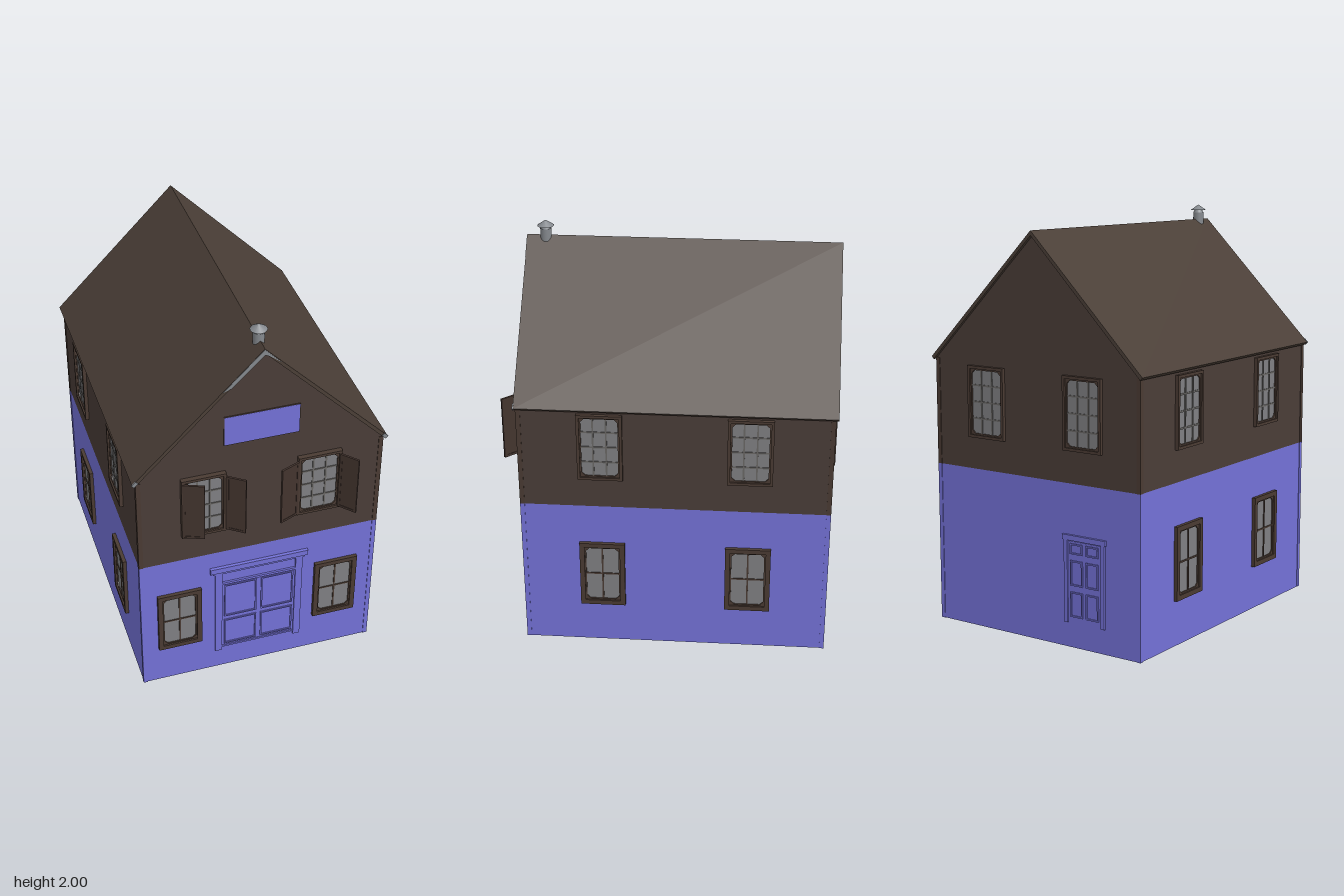
import * as THREE from 'three';

const mat = (name, color, side = THREE.FrontSide) => {
  const m = new THREE.MeshStandardMaterial({ color, side });
  m.name = name;
  return m;
};

export function createModel() {
  const blue = mat('blue paint', 0x7472d8);
  const blueWall = mat('blue wall', 0x7472d8, THREE.DoubleSide);
  const brownWall = mat('brown siding', 0x4a3d38, THREE.DoubleSide);
  const brown = mat('brown trim', 0x4a3b33);
  const roofMat = mat('roof brown', 0x4b3f37);
  const shutterMat = mat('shutter brown', 0x43342e);
  const glass = mat('window grey', 0x808083);
  const bar = mat('window bar grey', 0x6a6866);
  const metal = mat('metal grey', 0x85898e);

  const house = new THREE.Group();
  house.name = 'house';
  const W = 0.595, ZF = 0.7, ZB = -0.78, MID = 0.78, EAVE = 1.305, PEAK = 1.9;
  const ZC = (ZF + ZB) / 2, D = ZF - ZB;

  const add = (parent, name, geo, m, x = 0, y = 0, z = 0) => {
    const mesh = new THREE.Mesh(geo, m);
    mesh.name = name;
    mesh.position.set(x, y, z);
    parent.add(mesh);
    return mesh;
  };
  // box given by its limits
  const box = (parent, name, m, x0, x1, y0, y1, z0, z1) => add(parent, name,
    new THREE.BoxGeometry(x1 - x0, y1 - y0, z1 - z0), m, (x0 + x1) / 2, (y0 + y1) / 2, (z0 + z1) / 2);
  const poly = (pts, C = THREE.Shape) => new C(pts.map(p => new THREE.Vector2(...p)));
  const rect = (w, h, c = 0) => (c
    ? [[-w + c, -h], [w - c, -h], [w, -h + c], [w, h - c], [w - c, h], [-w + c, h], [-w, h - c], [-w, -h + c]]
    : [[-w, -h], [w, -h], [w, h], [-w, h]]);
  const extrude = (shape, depth) => new THREE.ExtrudeGeometry(shape, { depth, bevelEnabled: false });
  // rectangular rim with a hole whose corners may be cut
  const rim = (w, h, border, depth, cut = 0) => {
    const s = poly(rect(w / 2, h / 2));
    s.holes.push(poly(rect(w / 2 - border, h / 2 - border, cut), THREE.Path));
    return extrude(s, depth);
  };
  // group lying on a wall, its local +z pointing outwards
  const mount = (name, x, y, z, turn) => {
    const g = new THREE.Group();
    g.name = name;
    g.position.set(x, y, z);
    g.rotation.y = turn;
    house.add(g);
    return g;
  };

  // Walls, open below
  for (const [name, z, turn] of [['front', ZF, 0], ['back', ZB, Math.PI]]) {
    const g = mount(name + 'Wall', 0, 0, z, turn);
    add(g, 'lowerWall', new THREE.PlaneGeometry(2 * W, MID), blueWall, 0, MID / 2);
    add(g, 'upperGable', new THREE.ShapeGeometry(
      poly([[-W, MID], [W, MID], [W, EAVE], [0, PEAK], [-W, EAVE]])), brownWall);
  }
  for (const s of [-1, 1]) {
    const g = mount('sideWall', s * W, 0, ZC, s * Math.PI / 2);
    add(g, 'lowerWall', new THREE.PlaneGeometry(D, MID), blueWall, 0, MID / 2);
    add(g, 'upperWall', new THREE.PlaneGeometry(D, EAVE - MID), brownWall, 0, (MID + EAVE) / 2);
  }

  // Corner boards
  for (const x of [-W + 0.008, W - 0.008]) for (const z of [ZF - 0.008, ZB + 0.008]) {
    box(house, 'lowerCornerBoard', blue, x - 0.011, x + 0.011, 0, MID, z - 0.011, z + 0.011);
    box(house, 'upperCornerBoard', brown, x - 0.011, x + 0.011, MID, 1.3, z - 0.011, z + 0.011);
  }

  // Roof
  const rx = 0.615;
  add(house, 'roof', extrude(poly([[-rx, 1.305], [0, 1.925], [rx, 1.305], [rx - 0.012, 1.292], [0, 1.902],
    [-rx + 0.012, 1.292]]), 1.505), roofMat, 0, 0, -0.795);
  // Grey edging on the front gable
  const flashing = poly([[0, 1.923], [-0.17, 1.751], [-0.19, 1.731], [-0.15, 1.745], [0, 1.893],
    [0.02, 1.885], [0.08, 1.838]]);
  add(house, 'gableFlashing', extrude(flashing, 0.006), metal, 0, 0, 0.706);
  for (const s of [-1, 1]) {
    const tip = box(house, 'eaveTip', metal, -0.014, 0.014, -0.009, 0.009, -0.003, 0.003);
    tip.position.set(s * 0.602, 1.308, 0.71);
    tip.rotation.z = -s * Math.PI / 4;
  }

  // Chimney pipe
  add(house, 'chimneyPipe', new THREE.CylinderGeometry(0.027, 0.027, 0.06, 16), metal, 0, 1.93, 0.62);
  add(house, 'chimneyNeck', new THREE.CylinderGeometry(0.018, 0.027, 0.02, 16), metal, 0, 1.967, 0.62);
  add(house, 'chimneyCap', new THREE.ConeGeometry(0.04, 0.028, 16), metal, 0, 1.986, 0.62);

  // Windows
  const windowAt = (x, z, turn, upper) => {
    const w = upper ? 0.215 : 0.22, h = upper ? 0.345 : 0.355, b = upper ? 0.014 : 0.024;
    const g = mount(upper ? 'upperWindow' : 'lowerWindow', x, upper ? 1.107 : 0.398, z, turn);
    add(g, 'frame', rim(w, h, b, 0.03), brown, 0, 0, -0.012);
    add(g, 'sash', rim(w - 2 * b, h - 2 * b, 0.007, 0.016, 0.016), brown, 0, 0, -0.006);
    box(g, 'pane', glass, -w / 2 + b, w / 2 - b, -h / 2 + b, h / 2 - b, -0.006, 0.004);
    const cols = upper ? 3 : 2, rows = upper ? 4 : 2, t = 0.004;
    const iw = w - 2 * b, ih = h - 2 * b, m = upper ? bar : brown;
    for (let i = 1; i < cols; i++) {
      const u = -iw / 2 + i * iw / cols;
      box(g, 'uprightBar', m, u - t, u + t, -ih / 2, ih / 2, -0.008, 0.008);
    }
    for (let i = 1; i < rows; i++) {
      const v = -ih / 2 + i * ih / rows;
      box(g, 'crossBar', m, -iw / 2, iw / 2, v - t, v + t, -0.0075, 0.0075);
    }
  };
  for (const x of [-0.405, 0.395]) windowAt(x, ZF, 0, false);
  for (const x of [-0.282, 0.282]) {
    windowAt(x, ZF + 0.006, 0, true);
    windowAt(x, ZB, Math.PI, true);
  }
  for (const s of [-1, 1]) for (const z of [0.312, -0.395]) for (const upper of [false, true])
    windowAt(s * W, z, s * Math.PI / 2, upper);

  // Open shutters, each from its hinge to its free edge
  for (const [x0, z0, x1, z1] of [[-0.385, 0.722, -0.29, 0.76], [-0.175, 0.722, -0.097, 0.778],
    [0.175, 0.722, 0.08, 0.76], [0.38, 0.722, 0.445, 0.795]]) {
    const len = Math.hypot(x1 - x0, z1 - z0);
    const g = mount('shutter', x0, 1.103, z0, Math.atan2(-(z1 - z0), x1 - x0));
    box(g, 'shutterPanel', shutterMat, 0, len, -0.158, 0.158, -0.003, 0.003);
    add(g, 'shutterRim', rim(len, 0.318, 0.012, 0.01), shutterMat, len / 2, 0, -0.005);
  }

  // Sign board
  box(house, 'signBoard', blue, -0.18, 0.175, 1.43, 1.585, ZF, ZF + 0.006);
  add(house, 'signEdge', rim(0.36, 0.16, 0.004, 0.005), brown, -0.0025, 1.5075, ZF);

  // Doors: panels are limits [x0, x1, y0, y1]
  const panels = (g, list) => {
    for (const [x0, x1, y0, y1] of list)
      add(g, 'doorPanel', rim(x1 - x0, y1 - y0, 0.007, 0.02), blue, (x0 + x1) / 2, (y0 + y1) / 2, -0.01);
  };
  const front = mount('frontDoor', 0, 0, ZF, 0);
  box(front, 'doorLeaf', blue, -0.19, 0.185, 0.145, 0.57, -0.006, 0.004);
  box(front, 'sill', blue, -0.19, 0.185, 0.138, 0.148, -0.008, 0.009);
  box(front, 'transomBar', blue, -0.19, 0.185, 0.567, 0.58, -0.008, 0.01);
  box(front, 'lintel', blue, -0.25, 0.245, 0.655, 0.685, -0.008, 0.016);
  box(front, 'lintelMoulding', blue, -0.235, 0.23, 0.642, 0.655, -0.008, 0.011);
  for (const [x0, x1] of [[-0.225, -0.19], [0.185, 0.22]])
    box(front, 'jamb', blue, x0, x1, 0.12, 0.645, -0.008, 0.011);
  panels(front, [[-0.178, -0.013, 0.35, 0.56], [0.01, 0.175, 0.35, 0.56],
    [-0.178, -0.013, 0.16, 0.325], [0.01, 0.175, 0.16, 0.325]]);

  const back = mount('backDoor', -0.287, 0, ZB, Math.PI);
  box(back, 'doorLeaf', blue, -0.095, 0.095, 0.12, 0.51, -0.006, 0.004);
  box(back, 'lintel', blue, -0.122, 0.122, 0.515, 0.54, -0.008, 0.013);
  for (const s of [-1, 1]) {
    box(back, 'jamb', blue, s * 0.105 - 0.01, s * 0.105 + 0.01, 0.12, 0.515, -0.008, 0.01);
    const x0 = s * 0.045 - 0.035, x1 = x0 + 0.07;
    panels(back, [[x0, x1, 0.15, 0.27], [x0, x1, 0.3, 0.42], [x0, x1, 0.45, 0.5]]);
  }
  return house;
}
